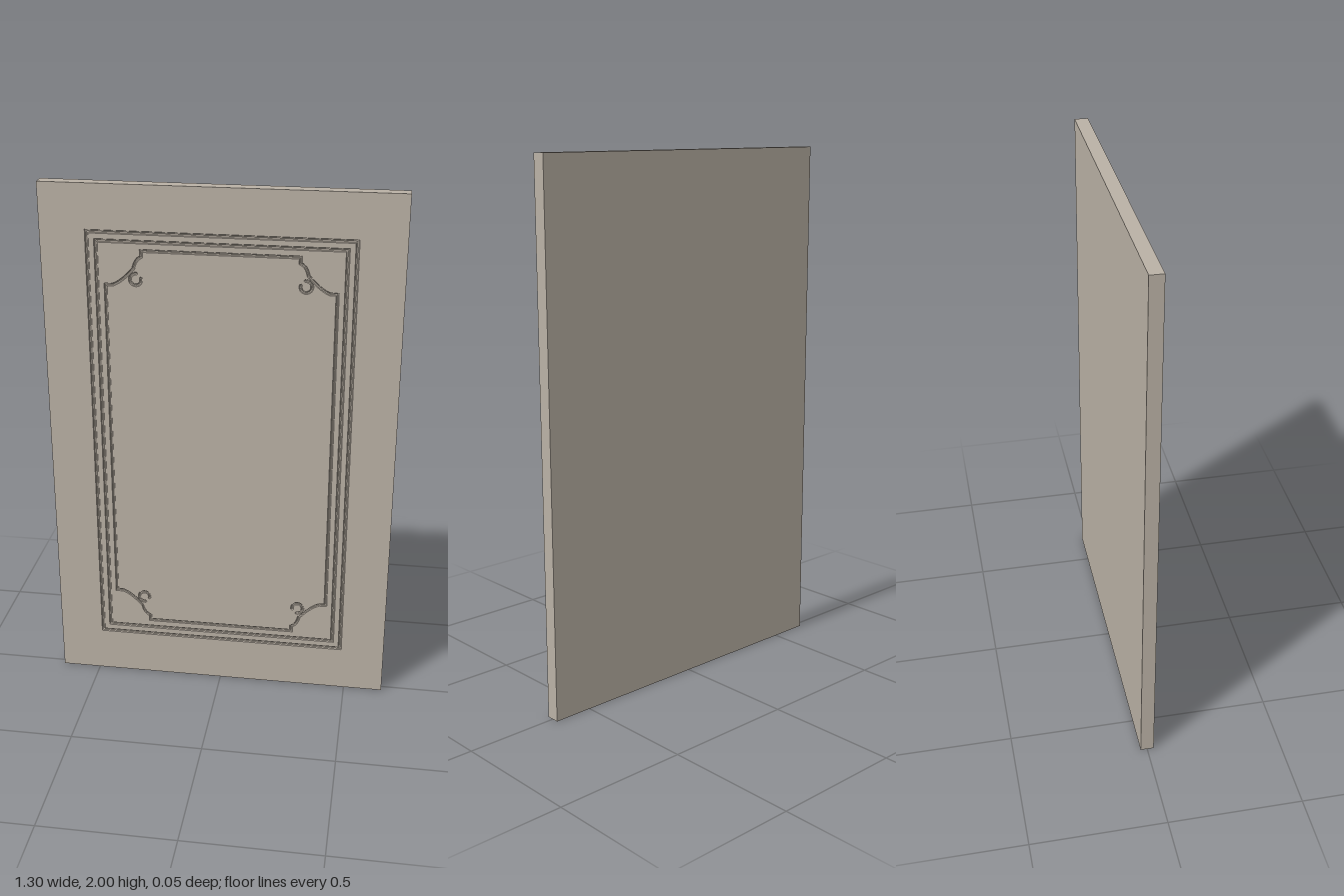
import * as THREE from 'three';
import { mergeGeometries } from 'three/addons/utils/BufferGeometryUtils.js';

const W = 1.3, H = 2, T = 0.05, CY = 1.005, DEPTH = 0.006;
const V = (x, y) => new THREE.Vector2(x, y);

// Path shifted to its left by d, with mitred corners; d may vary along the path
function offset(path, closed, d) {
  const n = path.length;
  return path.map((p, i) => {
    const prev = closed || i > 0 ? path[(i + n - 1) % n] : null;
    const next = closed || i < n - 1 ? path[(i + 1) % n] : null;
    const a = (prev ? p.clone().sub(prev) : next.clone().sub(p)).normalize();
    const b = (next ? next.clone().sub(p) : p.clone().sub(prev)).normalize();
    const na = V(-a.y, a.x), nb = V(-b.y, b.x);
    const m = na.clone().add(nb).normalize();
    return p.clone().addScaledVector(m, d(i) / Math.max(0.5, m.dot(na)));
  });
}

// Rounded channel sunk below the front face, with its two rim outlines
function groove(path, closed, width) {
  const n = path.length;
  const half = i => closed || (i > 0 && i < n - 1) ? width / 2 : width / 10;
  const steps = [-1, -0.65, 0, 0.65, 1];
  const rows = steps.map(t => offset(path, closed, i => t * half(i)));
  const pos = [], idx = [];
  rows.forEach((row, k) => row.forEach((p, i) => {
    pos.push(p.x, p.y, T / 2 - DEPTH * Math.sqrt(1 - steps[k] ** 2) * half(i) * 2 / width);
  }));
  for (let k = 0; k < steps.length - 1; k++) {
    for (let i = 0; i < (closed ? n : n - 1); i++) {
      const j = (i + 1) % n, a = k * n + i, b = k * n + j;
      idx.push(a, b, b + n, a, b + n, a + n);
    }
  }
  const g = new THREE.BufferGeometry();
  g.setAttribute('position', new THREE.Float32BufferAttribute(pos, 3));
  g.setIndex(idx);
  const geometry = g.toNonIndexed();
  geometry.computeVertexNormals();
  return { outer: rows[0], inner: rows[4], geometry };
}

// Four mirrored copies of a corner, joined into one counter-clockwise loop
function mirroredLoop(corner) {
  const place = (pts, sx, sy) => pts.map(p => V(sx * p.x, CY + sy * p.y));
  const back = [...corner].reverse();
  return [...place(corner, 1, 1), ...place(back, -1, 1), ...place(corner, -1, -1), ...place(back, 1, -1)];
}

export function createModel() {
  const model = new THREE.Group();
  model.name = 'carvedPanel';
  const material = new THREE.MeshStandardMaterial({ color: 0xbab1a5 });
  const add = (name, geometry) => {
    const mesh = new THREE.Mesh(geometry, material);
    mesh.name = name;
    model.add(mesh);
  };

  // Board sides and back; the front is cut around the grooves below
  const board = new THREE.BoxGeometry(W, H, T).translate(0, H / 2, 0);
  const index = Array.from(board.index.array);
  board.setIndex([...index.slice(0, 24), ...index.slice(30)]);
  board.clearGroups();
  add('board', board);

  // Double rectangular border
  const borderOuter = groove(mirroredLoop([V(0.478, 0.824)]), true, 0.013);
  const borderInner = groove(mirroredLoop([V(0.446, 0.792)]), true, 0.013);

  // Inner frame with scalloped corners
  const lower = new THREE.QuadraticBezierCurve(V(0.39, 0.632), V(0.355, 0.645), V(0.312, 0.695));
  const upper = new THREE.QuadraticBezierCurve(V(0.312, 0.695), V(0.305, 0.73), V(0.283, 0.738));
  const corner = [V(0.415, 0.632), ...lower.getPoints(10), ...upper.getPoints(6).slice(1), V(0.283, 0.76)];
  const frame = groove(mirroredLoop(corner), true, 0.011);

  // Small curl inside each corner
  const curls = [];
  for (const sx of [1, -1]) {
    for (const sy of [1, -1]) {
      const path = [];
      for (let i = 0; i <= 28; i++) {
        const a = 1.9 - i / 28 * 5.6, r = 0.023 - 0.004 * i / 28;
        path.push(V(sx * (0.304 + r * Math.cos(a)), CY + sy * (0.654 + r * Math.sin(a))));
      }
      curls.push(groove(path, false, 0.011));
    }
  }

  add('outerBorderGroove', borderOuter.geometry);
  add('innerBorderGroove', borderInner.geometry);
  add('scallopedFrameGroove', frame.geometry);
  add('cornerCurlGrooves', mergeGeometries(curls.map(c => c.geometry)));

  // Flat front regions between the grooves
  const region = (name, outline, holes) => {
    const shape = new THREE.Shape(outline);
    holes.forEach(h => shape.holes.push(new THREE.Path(h)));
    add(name, new THREE.ShapeGeometry(shape).translate(0, 0, T / 2));
  };
  const edge = [V(-W / 2, 0), V(W / 2, 0), V(W / 2, H), V(-W / 2, H)];
  region('frontMargin', edge, [borderOuter.outer]);
  region('borderBand', borderOuter.inner, [borderInner.outer]);
  region('frameBand', borderInner.inner, [frame.outer]);
  region('centreField', frame.inner, curls.map(c => [...c.outer, ...[...c.inner].reverse()]));
  return model;
}
